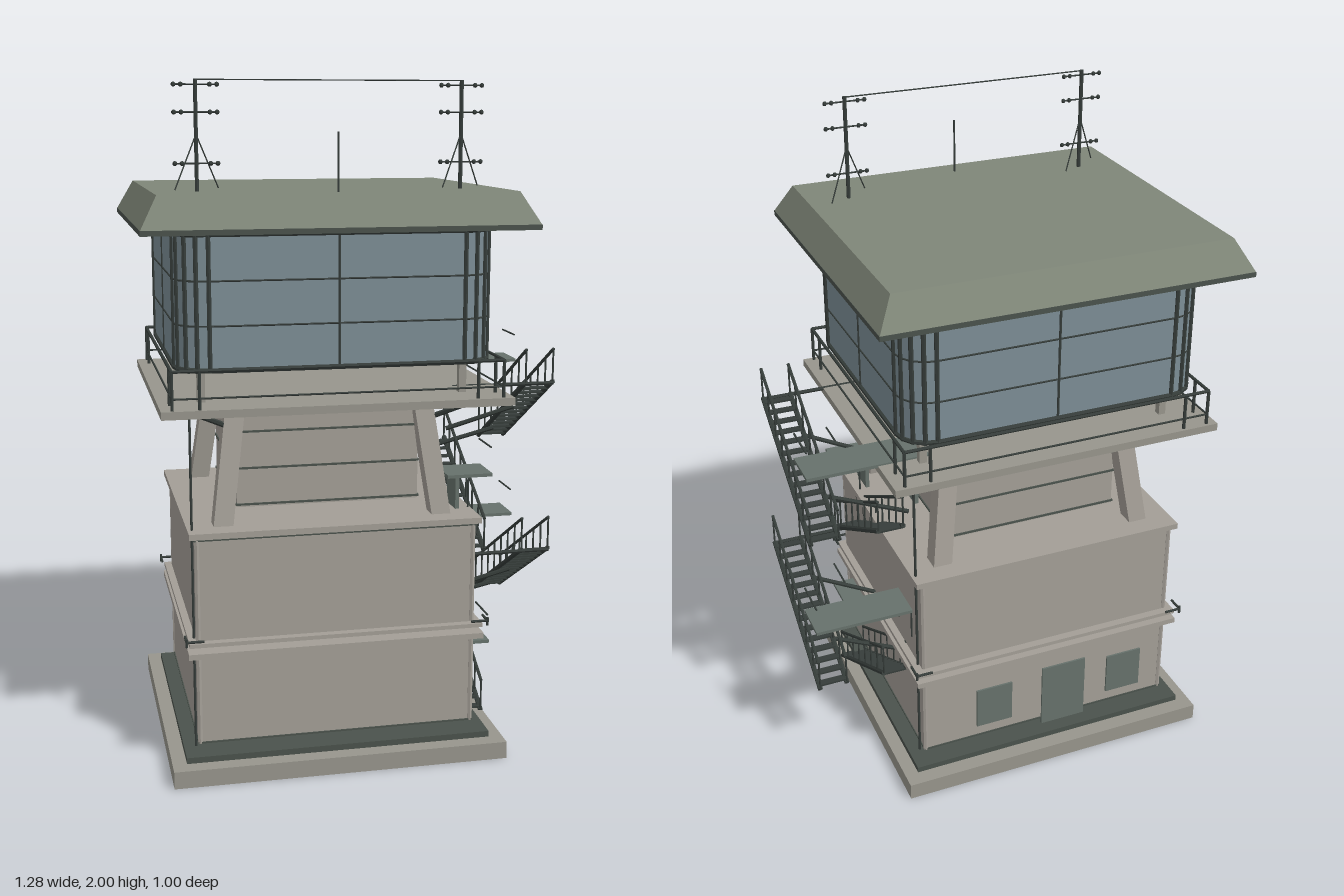
import * as THREE from 'three';

const mat = (color) => new THREE.MeshStandardMaterial({ color, flatShading: true });
const M = {
  concrete: mat(0xa39e96), slab: mat(0x97958c), roof: mat(0x7f8678),
  glass: mat(0x7c8d95), metal: mat(0x363d3a), panel: mat(0x66716b), trim: mat(0x4a524c),
};
const V = (x, y, z) => new THREE.Vector3(x, y, z);

function add(parent, name, geo, material) {
  const m = new THREE.Mesh(geo, material);
  m.name = name;
  parent.add(m);
  return m;
}

// box given by its limits
function box(parent, name, material, x0, x1, y0, y1, z0, z1) {
  const m = add(parent, name, new THREE.BoxGeometry(x1 - x0, y1 - y0, z1 - z0), material);
  m.position.set((x0 + x1) / 2, (y0 + y1) / 2, (z0 + z1) / 2);
  return m;
}
// box centred on the tower axis, by half sizes
const block = (p, name, material, hx, hz, y0, y1) => box(p, name, material, -hx, hx, y0, y1, -hz, hz);

// bar between two points
function rod(parent, name, a, b, r = 0.004, sides = 6, material = M.metal) {
  const d = b.clone().sub(a);
  const m = add(parent, name, new THREE.CylinderGeometry(r, r, d.length(), sides), material);
  m.position.copy(a).addScaledVector(d, 0.5);
  m.quaternion.setFromUnitVectors(V(0, 1, 0), d.normalize());
  return m;
}

function group(parent, name) {
  const g = new THREE.Group();
  g.name = name;
  parent.add(g);
  return g;
}

const corners = (fn) => [-1, 1].forEach((sx) => [-1, 1].forEach((sz) => fn(sx, sz)));

// closed horizontal rail around the tower axis
function ringRail(parent, name, pts, y, r) {
  pts.forEach((p, i) => {
    const q = pts[(i + 1) % pts.length];
    rod(parent, name, V(p.x, y, p.y), V(q.x, y, q.y), r);
  });
}
const rect = (hx, hz) => [[-1, -1], [1, -1], [1, 1], [-1, 1]].map(([a, b]) => new THREE.Vector2(a * hx, b * hz));

function buildBody(t) {
  block(t, 'foundation', M.slab, 0.5, 0.473, 0, 0.052);
  block(t, 'plinth', M.trim, 0.458, 0.425, 0.052, 0.07);
  block(t, 'lowerStorey', M.concrete, 0.415, 0.375, 0.09, 0.36);
  block(t, 'lowerCornice', M.concrete, 0.443, 0.403, 0.36, 0.377);
  block(t, 'upperLedge', M.concrete, 0.44, 0.4, 0.395, 0.407);
  block(t, 'upperStorey', M.concrete, 0.418, 0.375, 0.407, 0.72);
  block(t, 'upperCornice', M.concrete, 0.435, 0.39, 0.715, 0.733);
  // seams
  [[0.09, 0.418, 0.378], [0.355, 0.418, 0.378], [0.707, 0.421, 0.378]].forEach(([y, hx, hz]) =>
    block(t, 'seam', M.trim, hx, hz, y, y + 0.005));
  // corner strips and small brackets on the ledge
  corners((sx, sz) => {
    [[0.09, 0.355], [0.41, 0.71]].forEach(([a, b]) =>
      rod(t, 'cornerStrip', V(sx * 0.412, a, sz * 0.372), V(sx * 0.412, b, sz * 0.372), 0.008, 6, M.concrete));
    const x = sx * 0.45, z = sz * 0.415;
    rod(t, 'ledgeBracket', V(x, 0.42, z), V(x - sx * 0.05, 0.42, z));
    rod(t, 'ledgeBracket', V(x, 0.42, z), V(x, 0.42, z - sz * 0.05));
    rod(t, 'ledgeBracket', V(x, 0.405, z), V(x, 0.43, z));
  });
  // drain pipes
  rod(t, 'drainPipe', V(-0.422, 0.06, 0.345), V(-0.422, 1.08, 0.345));
  rod(t, 'drainPipe', V(0.422, 0.06, -0.345), V(0.422, 1.08, -0.345));
  // rear door and windows
  box(t, 'rearDoor', M.panel, -0.135, 0.015, 0.07, 0.29, -0.381, -0.37);
  [0.18, -0.275].forEach((x) => box(t, 'rearWindow', M.panel, x - 0.06, x + 0.06, 0.13, 0.27, -0.381, -0.37));
}

function buildNeck(t) {
  block(t, 'shaft', M.concrete, 0.275, 0.24, 0.765, 1.085);
  [0.77, 0.88, 0.99].forEach((y) => block(t, 'shaftSeam', M.trim, 0.279, 0.244, y, y + 0.006));
  box(t, 'shaftWindow', M.panel, 0.27, 0.283, 0.915, 1.0, -0.065, 0.065);
  block(t, 'platform', M.slab, 0.51, 0.447, 1.08, 1.103);
  corners((sx, sz) => {
    // leaning leg: box whose upper end is shifted inwards
    const g = new THREE.BoxGeometry(0.058, 0.35, 0.058);
    const p = g.attributes.position;
    for (let i = 0; i < p.count; i++) {
      const top = p.getY(i) > 0;
      p.setX(i, p.getX(i) + sx * (top ? 0.28 : 0.327));
      p.setZ(i, p.getZ(i) + sz * (top ? 0.243 : 0.296));
    }
    g.computeVertexNormals();
    add(t, 'leg', g, M.concrete).position.y = 0.908;
    rod(t, 'platformBrace', V(sx * 0.3, 1.015, sz * 0.26), V(sx * 0.42, 1.08, sz * 0.35), 0.008);
  });
}

function buildCabin(t) {
  const hx = 0.457, hz = 0.403, r = 0.09;
  const s = new THREE.Shape();
  s.absarc(hx - r, hz - r, r, 0, Math.PI / 2);
  s.absarc(r - hx, hz - r, r, Math.PI / 2, Math.PI);
  s.absarc(r - hx, r - hz, r, Math.PI, Math.PI * 1.5);
  s.absarc(hx - r, r - hz, r, Math.PI * 1.5, Math.PI * 2);
  const geo = new THREE.ExtrudeGeometry(s, { depth: 0.385, bevelEnabled: false, curveSegments: 2 });
  geo.rotateX(-Math.PI / 2);
  add(t, 'windowBand', geo, M.glass).position.y = 1.205;
  block(t, 'cabinFloor', M.trim, hx - 0.03, hz - 0.03, 1.195, 1.206);
  // window frames
  const pts = [];
  s.getPoints(2).forEach((p) => { if (!pts.some((q) => q.distanceTo(p) < 1e-4)) pts.push(p); });
  [[1.206, 0.008], [1.33, 0.003], [1.455, 0.003], [1.582, 0.007]].forEach(([y, w]) => ringRail(t, 'glazingBar', pts, y, w));
  pts.forEach((p) => rod(t, 'mullion', V(p.x, 1.2, p.y), V(p.x, 1.59, p.y), 0.007));
  [[0, hz], [0, -hz], [hx, 0], [-hx, 0]].forEach(([x, z]) => rod(t, 'centreMullion', V(x, 1.2, z), V(x, 1.59, z), 0.004));
  // supports under the cabin
  corners((sx, sz) => box(t, 'cabinPost', M.slab, sx * 0.385 - 0.011, sx * 0.385 + 0.011, 1.1, 1.2, sz * 0.32 - 0.011, sz * 0.32 + 0.011));
  // gallery railing
  const rail = group(t, 'galleryRailing'), rx = 0.478, rz = 0.434;
  ringRail(rail, 'topRail', rect(rx, rz), 1.212, 0.005);
  ringRail(rail, 'lowerRail', rect(rx, rz), 1.135, 0.003);
  corners((sx, sz) => [[1, 1], [0.84, 1], [1, 0.82]].forEach(([a, b]) =>
    rod(rail, 'railPost', V(sx * rx * a, 1.1, sz * rz * b), V(sx * rx * a, 1.212, sz * rz * b), 0.005)));

  // roof: thin eave and a bevelled slab
  block(t, 'eave', M.trim, 0.558, 0.5, 1.588, 1.603);
  const roof = new THREE.BoxGeometry(1.114, 0.09, 0.998);
  const p = roof.attributes.position;
  for (let i = 0; i < p.count; i++) {
    if (p.getY(i) > 0) p.setXYZ(i, Math.sign(p.getX(i)) * 0.508, 0.045, Math.sign(p.getZ(i)) * 0.448);
  }
  roof.computeVertexNormals();
  add(t, 'roof', roof, M.roof).position.y = 1.648;
}

function buildAntennas(t) {
  const z = 0.278, xs = [-0.38, 0.383];
  xs.forEach((x) => {
    const g = group(t, 'antenna');
    rod(g, 'mast', V(x, 1.69, z), V(x, 2, z), 0.006);
    [1.77, 1.91, 1.985].forEach((y) => {
      rod(g, 'crossbar', V(x - 0.06, y, z), V(x + 0.06, y, z), 0.0025);
      [-0.06, 0.06, -0.04, 0.04].forEach((d) =>
        add(g, 'insulator', new THREE.SphereGeometry(0.007, 6, 5), M.metal).position.set(x + d, y, z));
    });
    [-1, 1].forEach((s) => rod(g, 'stay', V(x, 1.85, z), V(x + s * 0.066, 1.7, z - s * 0.046), 0.002));
  });
  rod(t, 'aerialWire', V(xs[0], 1.998, z), V(xs[1], 1.998, z), 0.002);
  rod(t, 'whipAerial', V(0, 1.65, 0.385), V(0, 1.857, 0.385), 0.003);
}

// one flight from (y0, z0) up to (y1, z1), between x0 and x1
function flight(parent, x0, x1, y0, y1, z0, z1) {
  const g = group(parent, 'stairFlight'), n = 14, h = 0.1;
  const at = (x, f, dy = 0) => V(x, y0 + (y1 - y0) * f + dy, z0 + (z1 - z0) * f);
  [x0, x1].forEach((x) => {
    rod(g, 'stringer', at(x, 0), at(x, 1), 0.008);
    rod(g, 'handrail', at(x, 0, h), at(x, 1, h), 0.005);
    for (let i = 0; i <= 7; i++) rod(g, 'baluster', at(x, i / 7), at(x, i / 7, h), 0.003);
  });
  for (let i = 0; i < n; i++) {
    const p = at(0, (i + 0.5) / n);
    box(g, 'tread', M.metal, x0, x1, p.y - 0.003, p.y + 0.003, p.z - 0.012, p.z + 0.012);
  }
}

function buildStairs(root) {
  const g = group(root, 'outsideStairs');
  [0, 0.53].forEach((dy) => {
    flight(g, 0.332, 0.41, 0.052 + dy, 0.31 + dy, 0.23, -0.23);
    flight(g, 0.532, 0.618, 0.31 + dy, 0.575 + dy, -0.23, 0.23);
    // wall brackets carrying the outer flight
    rod(g, 'stairBracket', V(0.33, 0.405 + dy, 0.065), V(0.53, 0.48 + dy, 0.125), 0.007);
    rod(g, 'stairBracket', V(0.28, 0.29 + dy, -0.13), V(0.53, 0.37 + dy, -0.07), 0.007);
    rod(g, 'exitBar', V(0.3, 0.57 + dy, 0.23), V(0.62, 0.57 + dy, 0.23), 0.006);
    // landings with their loose rails and the doors beside them
    [[0.31, 0.41, 0.235], [0.575, 0.636, -0.235]].forEach(([y, x1, z]) => {
      const Y = y + dy;
      box(g, 'landing', M.panel, 0.27, x1, Y - 0.007, Y + 0.003, z - 0.064, z + 0.064);
      rod(g, 'landingRail', V(x1 - 0.005, Y + 0.083, z - 0.06), V(x1 - 0.005, Y + 0.083, z + 0.06), 0.003);
      [-1, 1].forEach((s) => rod(g, 'doorPost', V(0.336, Y - 0.1, z + s * 0.057), V(0.336, Y, z + s * 0.057), 0.003));
      box(g, 'sideDoor', M.panel, 0.3, 0.312, Y - 0.165, Y, z - 0.045, z + 0.045);
    });
  });
}

export function createModel() {
  const root = new THREE.Group();
  root.name = 'controlTower';
  const tower = group(root, 'tower');
  tower.position.x = -0.084;
  buildBody(tower);
  buildNeck(tower);
  buildCabin(tower);
  buildAntennas(tower);
  buildStairs(root);
  return root;
}
